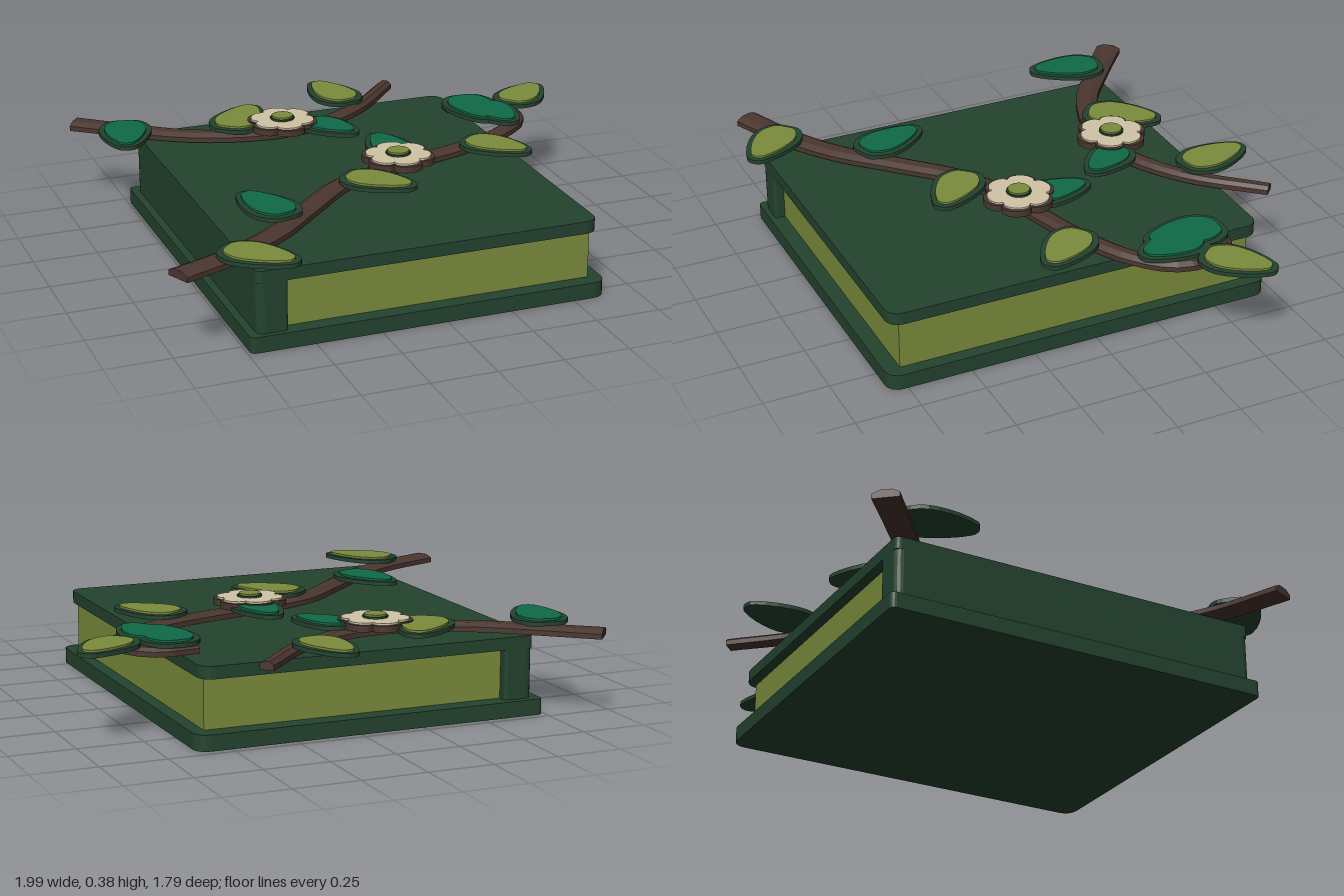
import * as THREE from 'three';

const mat = (name, color) => {
  const m = new THREE.MeshStandardMaterial({ color });
  m.name = name;
  return m;
};

export function createModel() {
  const root = new THREE.Group();
  const cover = mat('darkGreen', 0x24432f);
  const olive = mat('olive', 0x7b8c3c);
  const emerald = mat('emerald', 0x0f6a47);
  const cream = mat('cream', 0xd0c4a6);
  const bark = mat('bark', 0x4a362f);

  const add = (parent, name, geometry, material) => {
    const mesh = new THREE.Mesh(geometry, material);
    mesh.name = name;
    parent.add(mesh);
    return mesh;
  };

  // Flat slab from an outline of [x, z] points, between two heights
  const slab = (points, y0, y1) => {
    const shape = new THREE.Shape(points.map(([x, z]) => new THREE.Vector2(x, -z)));
    const g = new THREE.ExtrudeGeometry(shape, { depth: y1 - y0, bevelEnabled: false });
    return g.rotateX(-Math.PI / 2).translate(0, y0, 0);
  };

  // Rectangle with its own corner radius on the left and right sides
  const board = (x0, x1, z0, z1, rl, rr) => {
    const pts = [];
    const corner = (cx, cz, r, start) => {
      for (let i = 0; i <= 4; i++) {
        const a = start + (i / 4) * Math.PI / 2;
        pts.push([cx + r * Math.cos(a), cz + r * Math.sin(a)]);
      }
    };
    corner(x1 - rr, z1 - rr, rr, 0);
    corner(x0 + rl, z1 - rl, rl, Math.PI / 2);
    corner(x0 + rl, z0 + rl, rl, Math.PI);
    corner(x1 - rr, z0 + rr, rr, Math.PI * 1.5);
    return pts;
  };

  // Book: covers, spine and page block
  const book = new THREE.Group();
  book.name = 'book';
  root.add(book);
  add(book, 'bottomCover', slab(board(-0.74, 0.63, -0.72, 0.82, 0.02, 0.05), 0, 0.06), cover);
  add(book, 'topCover', slab(board(-0.71, 0.6, -0.69, 0.8, 0.02, 0.05), 0.25, 0.297), cover);
  add(book, 'spine', slab(board(-0.71, -0.595, -0.69, 0.8, 0.03, 0.012), 0.06, 0.25), cover);
  const pages = new THREE.BoxGeometry(1.18, 0.19, 1.41).translate(-0.01, 0.155, 0.055);
  add(book, 'pages', pages, olive);

  // Branch: chamfered strip swept along a flat curve and narrowing to its end
  const section = [[-0.5, 0], [-0.5, 0.6], [-0.22, 1], [0.22, 1], [0.5, 0.6], [0.5, 0]];
  const branch = (name, path, w0, w1, steps) => {
    const curve = new THREE.CatmullRomCurve3(path.map(([x, z]) => new THREE.Vector3(x, 0, z)));
    const pos = [], idx = [], n = section.length;
    for (let i = 0; i <= steps; i++) {
      const p = curve.getPointAt(i / steps), t = curve.getTangentAt(i / steps);
      const w = w0 + (w1 - w0) * (i / steps);
      for (const [s, h] of section) {
        pos.push(p.x - t.z * s * w, 0.303 + h * 0.032, p.z + t.x * s * w);
      }
      if (i === steps) break;
      for (let j = 0; j < n; j++) {
        const a = i * n + j, b = i * n + (j + 1) % n;
        idx.push(a, a + n, b, b, a + n, b + n);
      }
    }
    for (let j = 1; j < n - 1; j++) {
      const e = steps * n;
      idx.push(0, j, j + 1, e, e + j + 1, e + j);
    }
    const g = new THREE.BufferGeometry();
    g.setAttribute('position', new THREE.Float32BufferAttribute(pos, 3));
    g.setIndex(idx);
    const flat = g.toNonIndexed();
    flat.computeVertexNormals();
    add(root, name, flat, bark);
  };
  bark.side = THREE.DoubleSide;
  branch('backBranch', [[-0.92, -0.84], [-0.75, -0.7], [-0.55, -0.55], [-0.35, -0.47],
    [-0.17, -0.45], [0, -0.49], [0.2, -0.61], [0.42, -0.84]], 0.1, 0.055, 28);
  branch('frontBranch', [[-0.98, 0.77], [-0.75, 0.67], [-0.55, 0.54], [-0.35, 0.35],
    [-0.15, 0.17], [0.1, 0.07], [0.4, -0.02], [0.63, -0.13], [0.75, -0.25],
    [0.765, -0.39], [0.69, -0.485], [0.54, -0.48]], 0.1, 0.06, 48);

  // Leaf: dark rim with a coloured face, running from base to tip
  const leafOutline = [[0, 0], [0.3, 0.04], [0.49, 0.27], [0.43, 0.6], [0.17, 0.96],
    [0, 1.0], [-0.16, 0.96], [-0.43, 0.6], [-0.49, 0.27], [-0.3, 0.04]];
  const leafCurve = new THREE.CatmullRomCurve3(
    leafOutline.map(([v, u]) => new THREE.Vector3(v, 0, u - 0.5)), true);
  const leaf = (bx, bz, tx, tz, width, material) => {
    const group = new THREE.Group();
    group.name = 'leaf';
    const length = Math.hypot(tx - bx, tz - bz);
    const outline = inset => leafCurve.getPoints(28).slice(0, -1)
      .map(p => [p.x * (width - inset), p.z * (length - inset)]);
    add(group, 'leafRim', slab(outline(0), 0.333, 0.349), cover);
    add(group, 'leafFace', slab(outline(0.045), 0.349, 0.357), material);
    group.position.set((bx + tx) / 2, 0, (bz + tz) / 2);
    group.rotation.y = Math.atan2(tx - bx, tz - bz);
    root.add(group);
  };
  const emeraldLeaves = [
    [-0.75, -0.72, -0.82, -0.42, 0.21], [-0.07, -0.47, 0.065, -0.25, 0.18],
    [0.62, -0.52, 0.61, -0.2, 0.22], [0.65, -0.42, 0.69, -0.14, 0.21],
    [0.13, 0.06, 0.125, -0.22, 0.19], [-0.47, 0.48, -0.56, 0.19, 0.2],
  ];
  const oliveLeaves = [
    [-0.4, -0.46, -0.21, -0.71, 0.22], [0.17, -0.6, 0.12, -0.9, 0.2],
    [0.76, -0.35, 0.98, -0.54, 0.2], [0.43, -0.04, 0.61, 0.19, 0.2],
    [-0.15, 0.16, 0.06, 0.37, 0.2], [-0.79, 0.66, -0.58, 0.88, 0.2],
  ];
  emeraldLeaves.forEach(l => leaf(...l, emerald));
  oliveLeaves.forEach(l => leaf(...l, olive));

  // Flower: brown rimmed blossom with a round centre
  const flower = (x, z) => {
    const group = new THREE.Group();
    group.name = 'flower';
    const petals = r => Array.from({ length: 60 }, (_, i) => {
      const a = (i / 60) * Math.PI * 2;
      const k = r * (0.8 + 0.2 * Math.sqrt(Math.abs(Math.sin(a * 3))));
      return [k * Math.cos(a), k * Math.sin(a)];
    });
    add(group, 'petalRim', slab(petals(0.14), 0.336, 0.361), bark);
    add(group, 'petals', slab(petals(0.126), 0.361, 0.368), cream);
    const disc = (name, r, y0, y1, m) =>
      add(group, name, new THREE.CylinderGeometry(r, r, y1 - y0, 16).translate(0, (y0 + y1) / 2, 0), m);
    disc('centreRim', 0.048, 0.368, 0.375, cover);
    disc('centre', 0.042, 0.375, 0.382, olive);
    group.position.set(x, 0, z);
    root.add(group);
  };
  flower(-0.17, -0.465);
  flower(0.11, 0.07);

  return root;
}
